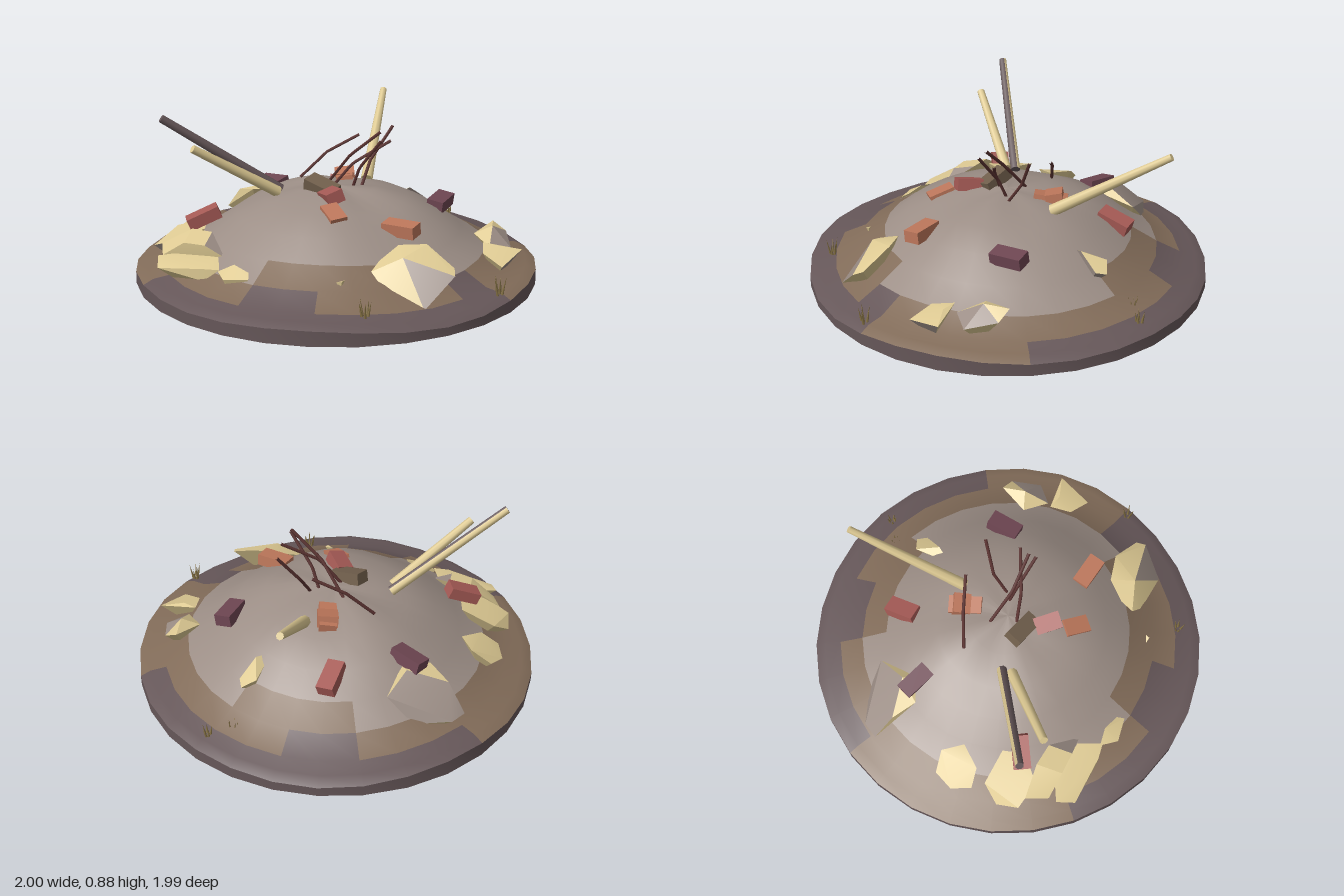
import * as THREE from 'three';
import { ConvexGeometry } from 'three/addons/geometries/ConvexGeometry.js';
import { toCreasedNormals } from 'three/addons/utils/BufferGeometryUtils.js';

const mat = (name, color) => Object.assign(new THREE.MeshStandardMaterial({ color }), { name });
const M = {
  rubble: mat('grey rubble', 0x9c8e86),
  dirt: mat('brown dirt', 0x826c59),
  soil: mat('dark soil', 0x665759),
  sand: mat('pale stone and wood', 0xdfcb94),
  red: mat('red brick', 0xa55a55),
  orange: mat('orange brick', 0xbd775b),
  plum: mat('plum brick', 0x6e4652),
  umber: mat('umber brick', 0x715f4c),
  rust: mat('rusty iron', 0x5c3432),
  straw: mat('dry grass', 0x8a7648),
};
const SEG = 30;
const V = (p) => new THREE.Vector3(...p);

// Facets of an unindexed geometry that face one direction get the second material
const paintFacing = (geo, dir, limit) => {
  const d = V(dir).normalize();
  const pos = geo.attributes.position;
  const tri = new THREE.Triangle();
  const n = new THREE.Vector3();
  geo.clearGroups();
  for (let i = 0; i < pos.count; i += 3) {
    tri.setFromAttributeAndIndices(pos, i, i + 1, i + 2).getNormal(n);
    geo.addGroup(i, 3, n.dot(d) > limit ? 1 : 0);
  }
  return geo;
};

export function createModel() {
  const root = new THREE.Group();
  const add = (name, geo, material, parent = root) => {
    const mesh = new THREE.Mesh(geo, material);
    mesh.name = name;
    parent.add(mesh);
    return mesh;
  };
  const group = (name) => {
    const g = new THREE.Group();
    g.name = name;
    root.add(g);
    return g;
  };

  // Rings of [radius, height, waviness] joined into a smooth surface, colour picked per patch
  const wave = (a) => 0.5 * Math.sin(3 * a + 1) + 0.5 * Math.sin(5 * a + 2.3);
  const rings = (rows, pick, materials) => {
    const pos = [];
    for (const [r, y, w] of rows) {
      for (let k = 0; k < SEG; k++) {
        const a = (k / SEG) * Math.PI * 2;
        pos.push(r * Math.cos(a), y + w * wave(a), -r * Math.sin(a));
      }
    }
    const sets = materials.map(() => []);
    for (let i = 0; i < rows.length - 1; i++) {
      for (let k = 0; k < SEG; k++) {
        const n = (k + 1) % SEG;
        const [a, b, c, d] = [i * SEG + k, (i + 1) * SEG + k, (i + 1) * SEG + n, i * SEG + n];
        const set = sets[pick(i, k)];
        set.push(a, b, c);
        if (rows[i][0] > 0.01) set.push(a, c, d);
      }
    }
    const geo = new THREE.BufferGeometry();
    geo.setAttribute('position', new THREE.Float32BufferAttribute(pos, 3));
    geo.setIndex(sets.flat());
    let start = 0;
    sets.forEach((s, m) => { geo.addGroup(start, s.length, m); start += s.length; });
    geo.computeVertexNormals();
    return geo;
  };

  // Mound: each sector is [end, ring where dirt starts, ring where dark soil starts]
  const sectors = [
    [2, 6, 9], [5, 6, 7], [7, 5, 7], [9, 5, 6], [12, 6, 7],
    [18, 6, 9], [21, 6, 7], [23, 5, 6], [27, 5, 7], [28, 6, 6], [30, 6, 9],
  ];
  const rows = [
    [0, 0.495, 0], [0.2, 0.484, 0.013], [0.36, 0.44, 0.012], [0.5, 0.375, 0.015],
    [0.62, 0.285, 0.008], [0.75, 0.205, 0.01], [0.87, 0.145, 0.01], [0.95, 0.135, 0.014], [1, 0.11, 0.02],
  ];
  const pick = (i, k) => {
    const [, dirt, soil] = sectors.find((s) => k < s[0]);
    return i + 1 >= soil ? 2 : i + 1 >= dirt ? 1 : 0;
  };
  const top = [M.rubble, M.dirt, M.soil];
  add('mound', rings(rows, pick, top), top);
  add('rimWall', rings([rows[8], [1, 0.05, 0]], () => 0, [M.soil]), [M.soil]);
  add('underside', new THREE.CircleGeometry(1, SEG).rotateX(Math.PI / 2).translate(0, 0.05, 0), M.soil);

  // Broken stones: convex chunks with some grey facets
  const stones = group('stones');
  const stone = (name, points, greyDir, limit = 0.8) => {
    const geo = paintFacing(new ConvexGeometry(points.map(V)), greyDir, limit);
    add(name, toCreasedNormals(geo, 0.4), [M.sand, M.rubble], stones);
  };
  stone('frontBoulder', [[0.24, 0.24, 0.59], [0.39, 0.35, 0.43], [0.52, 0.36, 0.42], [0.66, 0.28, 0.5],
    [0.67, 0.26, 0.55], [0.55, 0.13, 0.67], [0.27, 0.18, 0.65], [0.43, 0.33, 0.55], [0.39, 0.02, 0.57]], [0.6, 0.3, 0.5], 0.77);
  stone('backBoulder', [[-0.71, 0.2, -0.48], [-0.62, 0.32, -0.41], [-0.42, 0.37, -0.42], [-0.35, 0.31, -0.56],
    [-0.39, 0.35, -0.36], [-0.52, 0.35, -0.32], [-0.66, 0.2, -0.55], [-0.48, 0.19, -0.59], [-0.55, 0.1, -0.5]], [-0.4, 0.6, -0.7], 0.85);
  stone('rightStoneBack', [[0.68, 0.25, -0.12], [0.76, 0.28, -0.26], [0.83, 0.24, -0.23], [0.87, 0.2, -0.08],
    [0.77, 0.22, -0.01], [0.77, 0.29, -0.14], [0.78, 0.1, -0.12]], [0.6, 0.5, 0.6], 0.75);
  stone('rightStoneFront', [[0.74, 0.25, 0.01], [0.93, 0.23, 0.02], [0.85, 0.19, 0.19], [0.75, 0.23, 0.12],
    [0.81, 0.25, 0.04], [0.82, 0.1, 0.08]], [0.9, 0, 0.4], 0.6);
  stone('leftStone', [[-0.85, 0.2, -0.04], [-0.8, 0.23, -0.13], [-0.7, 0.3, -0.13], [-0.64, 0.3, -0.03],
    [-0.73, 0.27, 0.06], [-0.82, 0.21, 0.06], [-0.74, 0.1, -0.03]], [-0.5, 0.2, 1]);
  stone('leftSlab', [[-0.86, 0.2, 0.2], [-0.79, 0.27, 0.12], [-0.62, 0.32, 0.16], [-0.6, 0.31, 0.27],
    [-0.72, 0.27, 0.36], [-0.85, 0.22, 0.31], [-0.72, 0.1, 0.25]], [-0.5, -0.3, 0.8], 0.7);
  stone('cornerChunkUpper', [[-0.8, 0.24, 0.33], [-0.64, 0.33, 0.34], [-0.53, 0.33, 0.37], [-0.43, 0.25, 0.5],
    [-0.53, 0.3, 0.49], [-0.64, 0.3, 0.47], [-0.76, 0.22, 0.44], [-0.63, 0.1, 0.43]], [0.7, 0.7, 0.2], 0.85);
  stone('cornerChunkLower', [[-0.77, 0.23, 0.48], [-0.66, 0.24, 0.44], [-0.46, 0.25, 0.5], [-0.42, 0.23, 0.62],
    [-0.5, 0.23, 0.62], [-0.74, 0.2, 0.57], [-0.5, 0.17, 0.62], [-0.6, 0.08, 0.5]], [-0.9, 0, 0.4], 0.7);
  stone('frontFlake', [[-0.43, 0.22, 0.61], [-0.35, 0.26, 0.61], [-0.27, 0.24, 0.65], [-0.26, 0.22, 0.69],
    [-0.38, 0.21, 0.69], [-0.35, 0.1, 0.65]], [0.8, 0.2, 0.5]);
  stone('backShard', [[0.24, 0.35, -0.39], [0.27, 0.33, -0.58], [0.34, 0.29, -0.6], [0.36, 0.3, -0.55],
    [0.3, 0.37, -0.46], [0.3, 0.2, -0.5]], [1, 0, 0.4], 0.45);
  stone('pebble', [[0.15, 0.24, 0.69], [0.19, 0.25, 0.68], [0.18, 0.25, 0.7], [0.17, 0.21, 0.69]], [0, -1, 0], 2);

  // Stone tips poking out below the base: [x, z, half width, lowest height]
  const tips = [[0.42, 0.57, 0.12, 0.01], [0.09, 0.61, 0.06, 0.03], [0.45, -0.15, 0.06, 0.03], [0.28, -0.35, 0.06, 0.03],
    [-0.06, -0.28, 0.08, 0.02], [-0.22, -0.29, 0.1, 0.03], [-0.29, -0.11, 0.07, 0.02], [-0.19, 0.02, 0.05, 0.02],
    [-0.39, -0.39, 0.07, 0.03], [-0.47, 0.19, 0.07, 0.02], [-0.63, 0.25, 0.13, 0], [-0.58, 0.38, 0.07, 0.02]];
  tips.forEach(([x, z, s, y], i) => stone(`buriedTip${i + 1}`, [[x - s, 0.06, z], [x, 0.06, z - 0.6 * s],
    [x + s, 0.06, z + 0.2 * s], [x - 0.2 * s, 0.06, z + 0.7 * s], [x - 0.3 * s, y, z + 0.1 * s],
    [x + 0.5 * s, y + 0.015, z]], [0, 1, 0], 2));

  // Bricks: [material, position, yaw, tilt, roll, length]
  const bricks = group('bricks');
  [
    ['red', [-0.08, 0.36, -0.53], 1.35, 0.1, -0.3],
    ['plum', [-0.42, 0.385, -0.35], -0.5, 0.2, 0.1],
    ['orange', [0, 0.465, -0.22], -1.35, 0.15, 0.1],
    ['orange', [-0.005, 0.48, -0.24], 0.25, 0.2, 0.1, 0.1],
    ['plum', [0.5, 0.39, -0.17], 1.35, 0.15, 0.05],
    ['umber', [-0.05, 0.505, 0.09], -0.45, 0.2, -0.25],
    ['red', [0.02, 0.495, 0.2], -0.95, 0.3, 0.15, 0.13],
    ['orange', [0.06, 0.435, 0.33], -0.95, 0.1, -0.3, 0.13],
    ['orange', [0.38, 0.39, 0.31], -0.3, 0.1, 0],
    ['red', [-0.61, 0.365, 0.25], 0.4, 0, 0.4],
  ].forEach(([m, p, yaw, tilt, roll, len = 0.165]) => {
    const b = add(M[m].name, new THREE.BoxGeometry(len, 0.06, 0.085), M[m], bricks);
    b.position.set(...p);
    b.rotation.set(tilt, yaw, roll, 'YXZ');
  });

  // Wooden poles, thicker at the buried end; the charred one keeps pale wood on its back
  const poles = group('poles');
  const pole = (name, a, b, r0, r1, m) => {
    const dir = V(b).sub(V(a));
    const geo = new THREE.CylinderGeometry(r1, r0, dir.length(), 8).toNonIndexed();
    geo.applyQuaternion(new THREE.Quaternion().setFromUnitVectors(new THREE.Vector3(0, 1, 0), dir.clone().normalize()));
    const p = add(name, paintFacing(geo, [-0.4, 0.15, -1], 0.3), m, poles);
    p.position.copy(V(a)).addScaledVector(dir, 0.5);
  };
  pole('charredPole', [-0.27, 0.47, 0.05], [-0.795, 0.86, 0.295], 0.026, 0.02, [M.soil, M.sand]);
  pole('shortPole', [-0.27, 0.47, 0.1], [-0.62, 0.735, 0.36], 0.028, 0.02, [M.sand, M.sand]);
  pole('backPole', [0.105, 0.46, -0.26], [0.087, 0.815, -0.825], 0.031, 0.018, [M.sand, M.sand]);

  // Bent iron rods sticking out of the top
  const rods = group('rods');
  [
    [[-0.22, 0.48, -0.16], [-0.09, 0.61, -0.2], [0.07, 0.7, -0.235]],
    [[0.12, 0.48, -0.04], [0.15, 0.6, -0.12], [0.25, 0.765, -0.19]],
    [[-0.06, 0.48, -0.08], [0.07, 0.65, 0], [0.23, 0.785, 0.035]],
    [[-0.03, 0.47, 0.05], [0.09, 0.62, 0.04], [0.27, 0.73, -0.02]],
    [[0.08, 0.48, -0.02], [0.12, 0.59, 0.01], [0.24, 0.75, 0.07]],
  ].forEach((pts) => {
    const path = new THREE.CurvePath();
    const [a, b, c] = pts.map(V);
    path.add(new THREE.LineCurve3(a, b));
    path.add(new THREE.LineCurve3(b, c));
    add('rod', new THREE.TubeGeometry(path, 12, 0.008, 6), M.rust, rods);
  });

  // Dry grass tufts: [x, z, height]
  const tufts = group('grassTufts');
  [[0.31, 0.83, 0.1], [0.86, 0.41, 0.1], [0.35, -0.73, 0.07], [0.46, -0.79, 0.07], [-0.14, -0.78, 0.04]].forEach(([x, z, h]) => {
    for (let i = 0; i < 5; i++) {
      const a = i * 2.4 + x * 9;
      const blade = add('grassBlade', new THREE.ConeGeometry(0.007, h * (0.7 + 0.1 * (i % 4)), 4).translate(0, h * 0.4, 0), M.straw, tufts);
      blade.position.set(x + 0.013 * Math.cos(a), 0.14, z + 0.013 * Math.sin(a));
      blade.rotation.set(0.2 * Math.sin(a), 0, -0.2 * Math.cos(a));
    }
  });
  return root;
}
